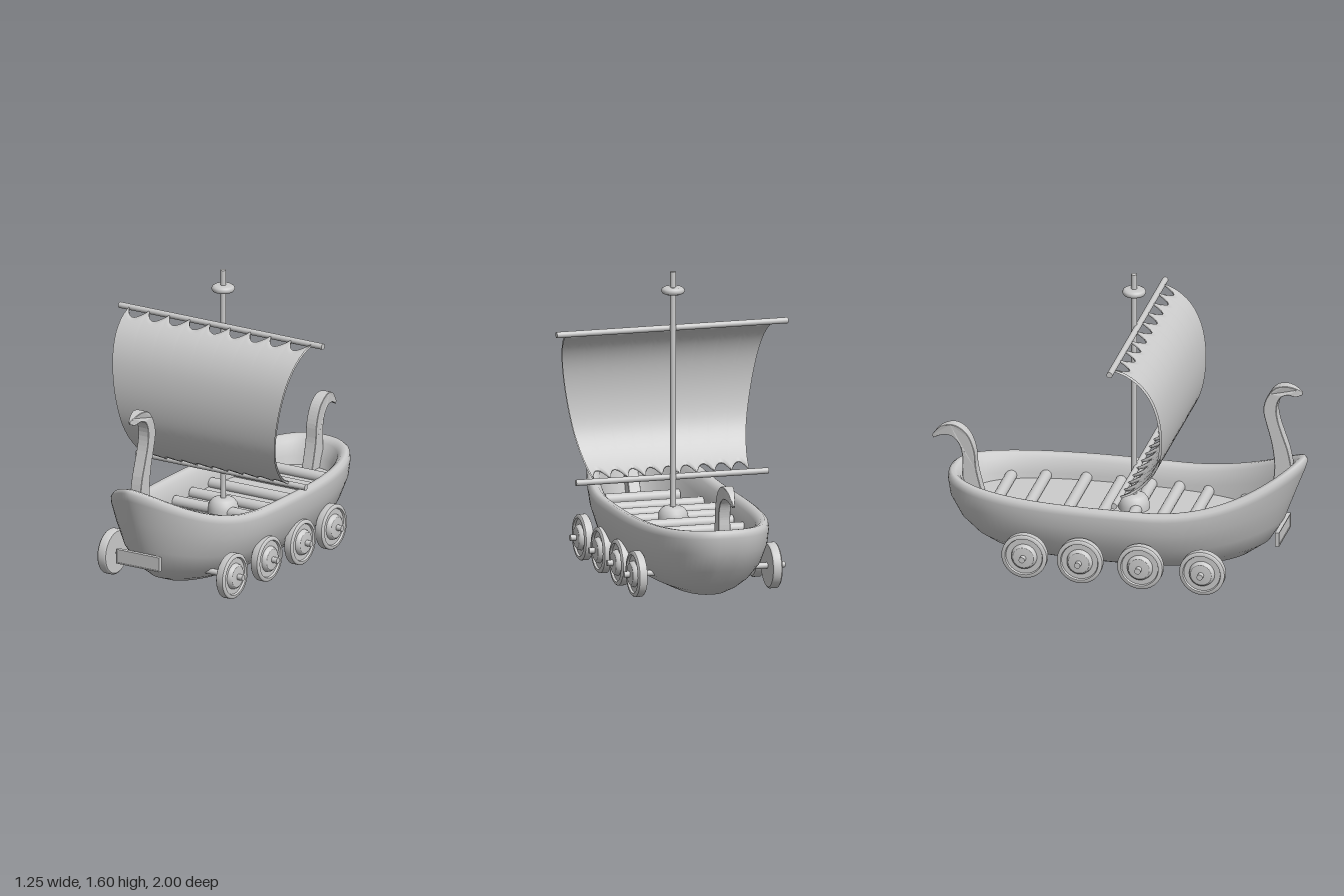
import * as THREE from 'three';

const mat = new THREE.MeshStandardMaterial({ color: 0xcccccc });
const matDouble = new THREE.MeshStandardMaterial({ color: 0xcccccc, side: THREE.DoubleSide });

function add(parent, name, geometry, x = 0, y = 0, z = 0, material = mat) {
  const mesh = new THREE.Mesh(geometry, material);
  mesh.name = name;
  mesh.position.set(x, y, z);
  parent.add(mesh);
  return mesh;
}

// Skin a list of closed rings of [x, y, z] points
function loft(rings) {
  const n = rings[0].length, index = [];
  for (let j = 0; j < rings.length - 1; j++)
    for (let i = 0; i < n; i++) {
      const k = (i + 1) % n;
      const a = j * n + i, b = j * n + k, c = a + n, d = b + n;
      index.push(a, b, d, a, d, c);
    }
  const g = new THREE.BufferGeometry();
  g.setAttribute('position', new THREE.Float32BufferAttribute(rings.flat(2), 3));
  g.setIndex(index);
  g.computeVertexNormals();
  return g;
}

// Cylinder lying along x
const rod = (r, length, sides = 20) =>
  new THREE.CylinderGeometry(r, r, length, sides).rotateZ(Math.PI / 2);

const lathe = (pts, sides = 40) =>
  new THREE.LatheGeometry(pts.map(([r, y]) => new THREE.Vector2(r, y)), sides);

// Plan of the boat: pointed bow, full round stern
const SEGMENTS = 96;
function planPoint(i, w, bow, stern) {
  const a = (i / SEGMENTS) * Math.PI * 2;
  const c = Math.cos(a), t = Math.abs(c);
  const half = c > 0 ? Math.pow(Math.max(0, 1 - t ** 2.6), 0.6)
    : Math.pow(Math.max(0, 1 - t ** 2.5), 0.4);
  return [Math.sign(Math.sin(a)) * half * w, c > 0 ? c * bow : -c * stern];
}

// Height of the rim along the boat
const sheer = z => z > 0
  ? 0.405 + 0.255 * Math.pow(Math.max(0, (z - 0.2) / 0.8), 2.2)
  : 0.405 + 0.025 * Math.pow(-z / 0.9, 4);

function hullGeometry() {
  // height fraction, half width, bow z, stern z: up the outside, over the rim, down the inside
  const levels = [
    [0, 0.004, 0.4, -0.45], [0.012, 0.09, 0.46, -0.53], [0.05, 0.16, 0.56, -0.61],
    [0.13, 0.225, 0.69, -0.68], [0.25, 0.28, 0.795, -0.755], [0.45, 0.335, 0.875, -0.835],
    [0.7, 0.365, 0.935, -0.89], [0.9, 0.373, 0.985, -0.903], [0.97, 0.367, 0.998, -0.9],
    [1, 0.35, 0.985, -0.885], [0.99, 0.325, 0.955, -0.865], [0.93, 0.3, 0.92, -0.84],
    [0.75, 0.285, 0.88, -0.81], [0.35, 0.275, 0.8, -0.76],
  ];
  return loft(levels.map(([f, w, bow, stern]) =>
    Array.from({ length: SEGMENTS }, (_, i) => {
      const [x, z] = planPoint(i, w, bow, stern);
      const rim = sheer(planPoint(i, 1, 1, -0.9)[1]);
      return [x, 0.012 + f * (rim - 0.012), z];
    })));
}

// Curved post cut from a side outline of [z, y] points, tapering to its tip
function postGeometry(back, front, taperStart, taperEnd, minY) {
  const toV = pts => pts.map(([z, y]) => new THREE.Vector2(z, y));
  const outline = [
    ...new THREE.SplineCurve(toV(back)).getPoints(28),
    ...new THREE.SplineCurve(toV(front)).getPoints(28),
  ];
  const g = new THREE.ExtrudeGeometry(new THREE.Shape(outline), {
    depth: 0.05, bevelEnabled: true, bevelThickness: 0.007, bevelSize: 0.004, bevelSegments: 2,
  });
  g.translate(0, 0, -0.025).rotateY(-Math.PI / 2);
  const p = g.attributes.position;
  for (let i = 0; i < p.count; i++) {
    if (p.getY(i) < minY) continue;
    const t = THREE.MathUtils.clamp((p.getZ(i) - taperStart) / (taperEnd - taperStart), 0, 1);
    p.setX(i, p.getX(i) * (1 - 0.85 * t * t));
  }
  g.computeVertexNormals();
  return g;
}

// Billowing sail with scalloped upper and lower edges
function sailGeometry() {
  const profile = new THREE.CatmullRomCurve3([
    [0.1, 1.3], [0.17, 1.272], [0.245, 1.21], [0.305, 1.1], [0.333, 0.92],
    [0.308, 0.74], [0.245, 0.63], [0.17, 0.558], [0.1, 0.52],
  ].map(([z, y]) => new THREE.Vector3(0, y, z)));
  const across = 108, down = 28, rings = [];
  for (let i = 0; i <= across; i++) {
    const u = i / across;
    const cut = 0.075 * Math.pow(Math.abs(Math.sin(u * 9 * Math.PI)), 0.8);
    const front = [], rear = [];
    for (let j = 0; j <= down; j++) {
      const v = cut + (1 - 2 * cut) * (j / down);
      const p = profile.getPointAt(v), t = profile.getTangentAt(v);
      const x = (2 * u - 1) * (0.42 + 0.14 * Math.pow((p.y - 0.52) / 0.78, 0.85));
      front.push([x, p.y - t.z * -0.006, p.z - t.y * 0.006]);
      rear.unshift([x, p.y + t.z * -0.006, p.z + t.y * 0.006]);
    }
    rings.push([...front, ...rear]);
  }
  return loft(rings);
}

export function createModel() {
  const ship = new THREE.Group();
  ship.name = 'wheeledLongship';

  // Hull and deck
  add(ship, 'hull', hullGeometry(), 0, 0, 0, matDouble);
  const deck = new THREE.Shape(Array.from({ length: SEGMENTS }, (_, i) => {
    const [x, z] = planPoint(i, 0.29, 0.81, -0.79);
    return new THREE.Vector2(x, -z);
  }));
  add(ship, 'deck', new THREE.ShapeGeometry(deck).rotateX(-Math.PI / 2), 0, 0.28, 0, matDouble);

  // Rowing benches
  for (const [z, half] of [[-0.63, 0.235], [-0.455, 0.275], [-0.245, 0.28], [-0.06, 0.28],
    [0.1, 0.28], [0.25, 0.28], [0.41, 0.275], [0.62, 0.2]])
    add(ship, 'bench', rod(0.03, half * 2), 0, 0.295, z);

  // Bow and stern posts
  add(ship, 'bowPost', postGeometry(
    [[0.84, 0.28], [0.9, 0.42], [0.918, 0.55], [0.9, 0.68], [0.868, 0.78], [0.843, 0.86],
      [0.835, 0.93], [0.853, 0.99], [0.895, 1.012], [0.935, 1.003], [0.965, 1.012]],
    [[0.968, 1.022], [0.935, 1.045], [0.885, 1.056], [0.83, 1.04], [0.787, 0.98], [0.772, 0.91],
      [0.79, 0.83], [0.818, 0.72], [0.83, 0.58], [0.8, 0.42], [0.73, 0.28]],
    0.84, 0.97, 0.9));
  add(ship, 'sternPost', postGeometry(
    [[-0.725, 0.28], [-0.76, 0.42], [-0.77, 0.52], [-0.8, 0.6], [-0.845, 0.645],
      [-0.895, 0.657], [-0.95, 0.635], [-0.994, 0.582]],
    [[-0.988, 0.574], [-0.935, 0.6], [-0.885, 0.596], [-0.845, 0.555], [-0.828, 0.49],
      [-0.828, 0.42], [-0.82, 0.28]],
    -0.82, -1.0, 0.44));

  // Plate on the bow
  const plate = new THREE.Group();
  plate.name = 'bowPlate';
  plate.position.set(-0.01, 0.24, 0.868);
  ship.add(plate);
  add(plate, 'platePanel', new THREE.BoxGeometry(0.26, 0.07, 0.014));
  for (const s of [-1, 1]) {
    add(plate, 'plateFrameBar', new THREE.BoxGeometry(0.265, 0.006, 0.022), 0, s * 0.036, 0);
    add(plate, 'plateFrameSide', new THREE.BoxGeometry(0.006, 0.078, 0.022), s * 0.13, 0, 0);
  }

  // Mast with its foot and lookout ring
  const mastZ = 0.075;
  add(ship, 'mast', new THREE.CylinderGeometry(0.015, 0.015, 1.32, 24), 0, 0.94, mastZ);
  add(ship, 'mastFoot', lathe([[0.08, 0], [0.08, 0.025], [0.074, 0.05], [0.06, 0.07],
    [0.04, 0.08], [0, 0.08]]), 0, 0.28, mastZ);
  add(ship, 'lookout', lathe([[0, -0.019], [0.04, -0.019], [0.055, -0.013], [0.062, 0],
    [0.057, 0.012], [0.045, 0.019], [0, 0.019]]), 0, 1.5, mastZ);

  // Yards and sail
  add(ship, 'upperYard', rod(0.016, 1.25), 0, 1.3, 0.092);
  add(ship, 'lowerYard', rod(0.016, 1.04), 0, 0.512, 0.092);
  add(ship, 'sail', sailGeometry(), 0, 0, 0, matDouble);

  // Wheels: dished disc with hub, outer side towards +y before turning
  const wheelGeometry = lathe([[0, -0.025], [0.112, -0.025], [0.112, -0.025], [0.12, -0.018],
    [0.12, 0.018], [0.12, 0.018], [0.113, 0.025], [0.1, 0.025], [0.1, 0.025], [0.096, 0.014],
    [0.096, 0.014], [0.068, 0.014], [0.068, 0.014], [0.064, 0.03], [0.055, 0.037],
    [0.055, 0.037], [0.022, 0.04], [0, 0.04]], 48);
  for (const z of [0.53, 0.2, -0.12, -0.415])
    for (const side of [-1, 1]) {
      const wheel = new THREE.Group();
      wheel.name = side > 0 ? 'leftWheel' : 'rightWheel';
      wheel.position.set(side * 0.365 - 0.018, 0.125, z);
      wheel.rotation.z = -side * Math.PI / 2;
      ship.add(wheel);
      add(wheel, 'wheelDisc', wheelGeometry);
      add(wheel, 'axle', new THREE.CylinderGeometry(0.016, 0.016, 0.23, 20), 0, -0.045, 0);
    }

  return ship;
}
